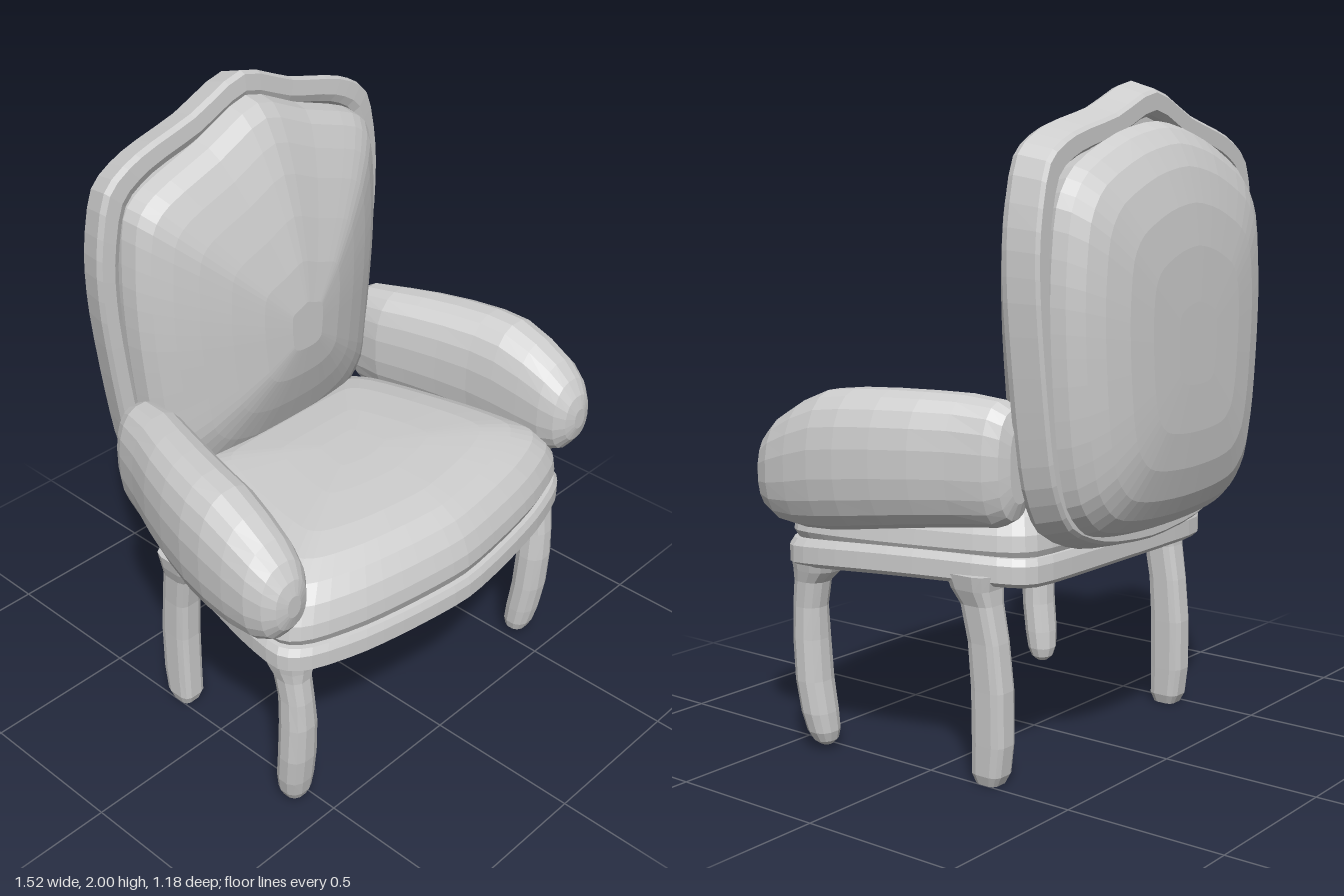
import * as THREE from 'three';

const material = new THREE.MeshStandardMaterial({ color: 0xcccccc, flatShading: true });

// Skin a list of equal-length point rings; either cap both ends or join last to first.
function loft(name, rings, closed = false) {
  const n = rings[0].length, count = rings.length;
  const pts = rings.flat().map(p => p.clone());
  const index = [];
  for (let r = 0; r < (closed ? count : count - 1); r++) {
    for (let i = 0; i < n; i++) {
      const a = r * n + i, b = r * n + (i + 1) % n;
      const s = (r + 1) % count;
      const c = s * n + i, d = s * n + (i + 1) % n;
      index.push(a, b, d, a, d, c);
    }
  }
  if (!closed) {
    for (const r of [0, count - 1]) {
      const mid = new THREE.Vector3();
      rings[r].forEach(p => mid.addScaledVector(p, 1 / n));
      const m = pts.push(mid) - 1;
      for (let i = 0; i < n; i++) {
        const a = r * n + i, b = r * n + (i + 1) % n;
        if (r === 0) index.push(m, b, a); else index.push(m, a, b);
      }
    }
  }
  // Turn the faces outward if the enclosed volume is negative
  let volume = 0;
  const cross = new THREE.Vector3();
  for (let i = 0; i < index.length; i += 3) {
    volume += pts[index[i]].dot(cross.crossVectors(pts[index[i + 1]], pts[index[i + 2]]));
  }
  if (volume < 0) index.reverse();
  const geometry = new THREE.BufferGeometry().setFromPoints(pts);
  geometry.setIndex(index);
  geometry.computeVertexNormals();
  const mesh = new THREE.Mesh(geometry, material);
  mesh.name = name;
  return mesh;
}

// Closed symmetric outline from the points of its +x half, first and last on the axis.
function outline(half) {
  const mirrored = half.slice(1, -1).reverse().map(([u, v]) => [-u, v]);
  const all = [...half, ...mirrored].map(([u, v]) => new THREE.Vector3(u, v, 0));
  const curve = new THREE.CatmullRomCurve3(all, true, 'catmullrom', 0.4);
  return curve.getPoints(all.length * 3).slice(0, -1);
}

// Scale an outline about (0, centre) for each [scale, offset] of a profile.
function scaledRings(shape, centre, profile, place) {
  return profile.map(([s, h]) => shape.map(p => place(p.x * s, centre + (p.y - centre) * s, h)));
}

// Rounded cross-sections [x, y, z, radiusX, radiusOther], lying across the y or z axis.
function limb(name, sections, side, axis, sides, power) {
  return loft(name, sections.map(([x, y, z, ru, rv]) =>
    Array.from({ length: sides }, (_, i) => {
      const a = (i + 0.5) / sides * Math.PI * 2, c = Math.cos(a), s = Math.sin(a);
      const u = Math.sign(c) * Math.abs(c) ** power * ru;
      const v = Math.sign(s) * Math.abs(s) ** power * rv;
      return axis === 'y'
        ? new THREE.Vector3(side * (x + u), y, z + v)
        : new THREE.Vector3(side * (x + u), y + v, z);
    })));
}

export function createModel() {
  const chair = new THREE.Group();
  chair.name = 'armchair';

  // Backrest: crested frame with a cushion on each face
  const upright = (x, y, z) => new THREE.Vector3(x, y, z);
  const frameShape = outline([
    [0, 2.0], [0.2, 1.925], [0.41, 1.868], [0.53, 1.79], [0.575, 1.6], [0.575, 1.4],
    [0.54, 1.1], [0.5, 0.88], [0.42, 0.74], [0.25, 0.67], [0, 0.645],
  ]);
  chair.add(loft('backFrame', scaledRings(frameShape, 1.3, [
    [0.86, -0.36], [0.885, -0.335], [0.92, -0.325], [0.99, -0.33], [1, -0.35],
    [0.965, -0.43], [0.95, -0.44], [0.88, -0.44], [0.86, -0.42],
  ], upright), true));

  const frontShape = outline([
    [0, 1.93], [0.2, 1.85], [0.41, 1.775], [0.485, 1.7], [0.505, 1.5], [0.5, 1.3],
    [0.475, 1.05], [0.45, 0.88], [0.36, 0.78], [0.2, 0.73], [0, 0.72],
  ]);
  chair.add(loft('backCushionFront', scaledRings(frontShape, 1.25, [
    [0.98, -0.39], [1, -0.33], [0.985, -0.28], [0.93, -0.245], [0.83, -0.21], [0.7, -0.175],
    [0.52, -0.137], [0.32, -0.103], [0.13, -0.083],
  ], upright)));

  const rearShape = outline([
    [0, 1.885], [0.2, 1.85], [0.4, 1.76], [0.48, 1.65], [0.505, 1.45], [0.5, 1.25],
    [0.475, 1.0], [0.43, 0.83], [0.34, 0.74], [0.2, 0.71], [0, 0.7],
  ]);
  chair.add(loft('backCushionRear', scaledRings(rearShape, 1.25, [
    [0.98, -0.39], [1, -0.44], [0.97, -0.48], [0.9, -0.52], [0.8, -0.55],
    [0.64, -0.575], [0.45, -0.587], [0.2, -0.59],
  ], upright)));

  // Seat: gently bowed rail and a domed cushion
  const bowed = (x, z, y) => new THREE.Vector3(x, y + 0.028 * (1 - (z / 0.6) ** 2), z);
  const flat = (x, z, y) => new THREE.Vector3(x, y, z);
  const seatShape = outline([
    [0, 0.59], [0.2, 0.57], [0.4, 0.535], [0.57, 0.48], [0.64, 0.41], [0.63, 0.25],
    [0.575, 0], [0.5, -0.25], [0.42, -0.335], [0.2, -0.345], [0, -0.345],
  ]);
  chair.add(loft('seatRail', scaledRings(seatShape, 0.1, [
    [0.5, 0.562], [0.9, 0.562], [0.97, 0.565], [1, 0.58], [1, 0.63], [0.98, 0.65], [0.9, 0.655],
  ], bowed)));
  chair.add(loft('seatCushion', scaledRings(seatShape, 0.1, [
    [0.9, 0.62], [0.95, 0.655], [0.98, 0.69], [0.97, 0.735], [0.93, 0.785], [0.86, 0.83],
    [0.75, 0.862], [0.6, 0.883], [0.35, 0.897], [0.15, 0.902],
  ], flat)));

  for (const side of [1, -1]) {
    const label = side > 0 ? 'left' : 'right';

    // Padded armrest, splayed outward toward the front
    chair.add(limb(label + 'Armrest', [
      [0.5, 0.95, -0.335, 0.045, 0.11], [0.505, 0.948, -0.32, 0.075, 0.155],
      [0.51, 0.948, -0.28, 0.095, 0.178], [0.53, 0.95, -0.18, 0.113, 0.188],
      [0.565, 0.948, -0.08, 0.12, 0.194], [0.598, 0.943, 0.03, 0.124, 0.2],
      [0.625, 0.935, 0.14, 0.125, 0.205], [0.638, 0.925, 0.23, 0.124, 0.205],
      [0.646, 0.905, 0.32, 0.117, 0.188], [0.65, 0.886, 0.4, 0.107, 0.16],
      [0.65, 0.875, 0.45, 0.088, 0.125], [0.65, 0.872, 0.48, 0.06, 0.08],
      [0.65, 0.872, 0.492, 0.025, 0.035],
    ], side, 'z', 20, 0.85));

    // Curved front leg with a rounded foot
    chair.add(limb(label + 'FrontLeg', [
      [0.56, 0.6, 0.38, 0.075, 0.085], [0.562, 0.565, 0.385, 0.066, 0.075],
      [0.57, 0.53, 0.4, 0.05, 0.056], [0.568, 0.45, 0.413, 0.049, 0.052],
      [0.564, 0.35, 0.415, 0.055, 0.053], [0.562, 0.22, 0.408, 0.058, 0.052],
      [0.557, 0.12, 0.394, 0.056, 0.051], [0.551, 0.06, 0.385, 0.049, 0.046],
      [0.547, 0.03, 0.381, 0.037, 0.035], [0.545, 0.015, 0.38, 0.018, 0.018],
    ], side, 'y', 12, 0.85));

    // Squarer back leg
    chair.add(limb(label + 'BackLeg', [
      [0.475, 0.62, -0.155, 0.07, 0.08], [0.475, 0.575, -0.16, 0.062, 0.068],
      [0.472, 0.53, -0.175, 0.05, 0.056], [0.468, 0.42, -0.195, 0.047, 0.055],
      [0.466, 0.28, -0.207, 0.047, 0.058], [0.466, 0.12, -0.208, 0.046, 0.058],
      [0.466, 0.03, -0.202, 0.045, 0.052], [0.466, 0.0, -0.2, 0.035, 0.038],
    ], side, 'y', 12, 0.55));
  }

  return chair;
}
